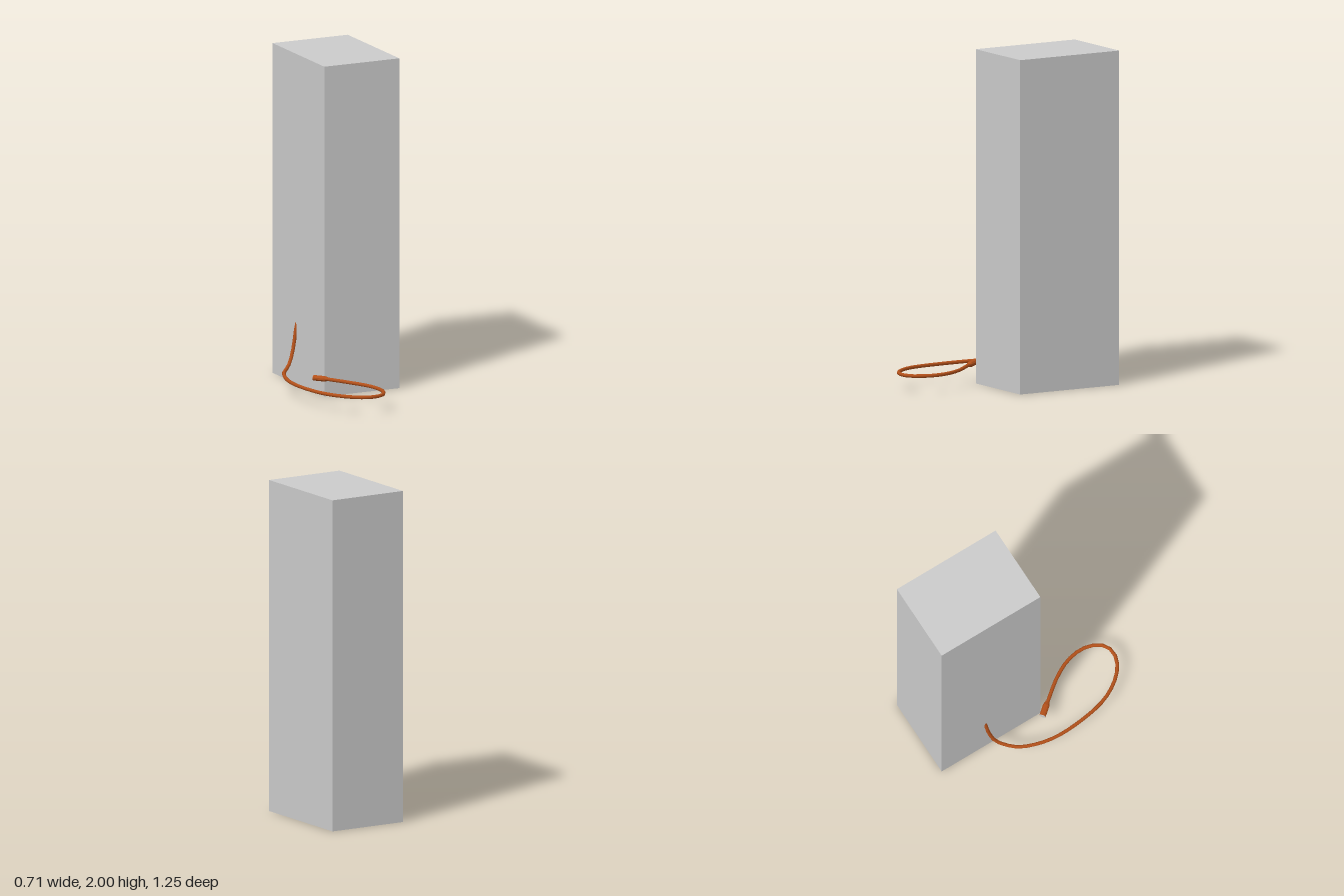
import * as THREE from 'three';

const grey = new THREE.MeshStandardMaterial({ color: 0xcccccc });
const orange = new THREE.MeshStandardMaterial({ color: 0xb4511a });

// Box given by its lower and upper corners
function panel(name, [x0, y0, z0], [x1, y1, z1]) {
  const mesh = new THREE.Mesh(new THREE.BoxGeometry(x1 - x0, y1 - y0, z1 - z0), grey);
  mesh.position.set((x0 + x1) / 2, (y0 + y1) / 2, (z0 + z1) / 2);
  mesh.name = name;
  return mesh;
}

// Tall hollow case, open underneath, with an upright divider
function createCase() {
  const L = -0.14, R = 0.355, B = -0.625, F = 0.065, H = 2, t = 0.012;
  const group = new THREE.Group();
  group.name = 'case';
  group.add(
    panel('topPanel', [L, H - t, B], [R, H, F]),
    panel('frontPanel', [L, 0, F - t], [R, H - t, F]),
    panel('backPanel', [L, 0, B], [R, H - t, B + t]),
    panel('leftPanel', [R - t, 0, B + t], [R, H - t, F - t]),
    panel('rightPanel', [L, 0, B + t], [L + t, H - t, F - t]),
    panel('divider', [-0.02, 0, B + t], [-0.012, H - t, F - t])
  );
  return group;
}

// Cable that drops out of the side panel and loops around the floor
function createCable() {
  const path = [
    [-0.13, 0.37, -0.318], [-0.14, 0.33, -0.315], [-0.16, 0.23, -0.305],
    [-0.195, 0.145, -0.28], [-0.24, 0.117, -0.235], [-0.285, 0.107, -0.18],
    [-0.333, 0.102, -0.05], [-0.349, 0.1, 0.09], [-0.326, 0.102, 0.32],
    [-0.295, 0.104, 0.425], [-0.25, 0.105, 0.505], [-0.19, 0.105, 0.57],
    [-0.13, 0.105, 0.604], [-0.07, 0.105, 0.612], [-0.015, 0.105, 0.588],
    [0.018, 0.105, 0.54], [0.036, 0.105, 0.46], [0.017, 0.106, 0.35],
    [-0.045, 0.108, 0.235], [-0.1, 0.112, 0.165], [-0.145, 0.115, 0.11]
  ].map(p => new THREE.Vector3(...p));
  const curve = new THREE.CatmullRomCurve3(path);
  const mesh = new THREE.Mesh(new THREE.TubeGeometry(curve, 36, 0.011, 8), orange);
  mesh.name = 'cable';
  return mesh;
}

// Connector: a tapered grip with a grey end face
function createPlug() {
  const plug = new THREE.Group();
  plug.name = 'plug';
  const profile = [[0, 0], [0.011, 0], [0.02, 0.028], [0.02, 0.098], [0, 0.098]]
    .map(p => new THREE.Vector2(...p));
  const gripShape = new THREE.LatheGeometry(profile, 10).toNonIndexed();
  gripShape.computeVertexNormals();
  const grip = new THREE.Mesh(gripShape, orange);
  grip.name = 'plugGrip';
  const tip = new THREE.Mesh(new THREE.CylinderGeometry(0.0185, 0.0185, 0.004, 10), grey);
  tip.position.y = 0.099;
  tip.name = 'plugTip';
  plug.add(grip, tip);
  plug.scale.z = 0.85;
  const direction = new THREE.Vector3(-0.065, 0, -0.079).normalize();
  const up = new THREE.Vector3(0, 1, 0);
  const side = new THREE.Vector3().crossVectors(direction, up);
  plug.quaternion.setFromRotationMatrix(new THREE.Matrix4().makeBasis(side, direction, up));
  plug.position.set(-0.136, 0.115, 0.119);
  return plug;
}

export function createModel() {
  const model = new THREE.Group();
  model.name = 'caseWithCable';
  model.add(createCase(), createCable(), createPlug());
  return model;
}
